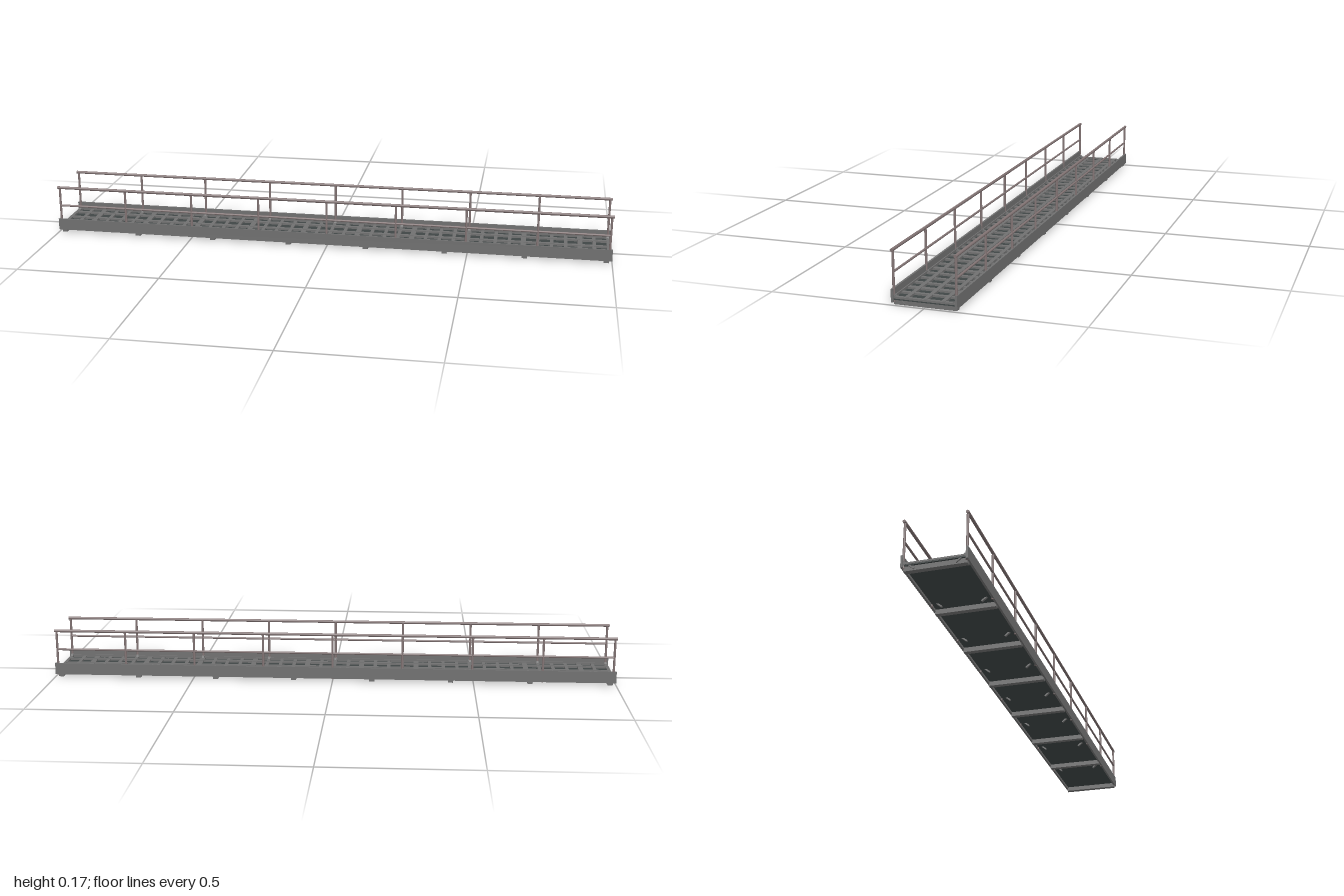
import * as THREE from 'three';

export function createModel() {
  const model = new THREE.Group();
  model.name = 'footbridge';
  const mat = (name, color) => {
    const m = new THREE.MeshStandardMaterial({ color });
    m.name = name;
    return m;
  };
  const steel = mat('grey steel', 0x707070);
  const railSteel = mat('railing steel', 0x827474);
  const plate = mat('dark deck plate', 0x3f4646);

  const add = (geometry, material, name, x, y, z) => {
    const mesh = new THREE.Mesh(geometry, material);
    mesh.name = name;
    mesh.position.set(x, y, z);
    model.add(mesh);
    return mesh;
  };
  const box = (name, material, w, h, d, x, y, z) =>
    add(new THREE.BoxGeometry(w, h, d), material, name, x, y, z);
  const tube = (name, r, length, x, y, z) =>
    add(new THREE.CylinderGeometry(r, r, length, 24), railSteel, name, x, y, z);

  // Deck plate
  box('deckPlate', plate, 1.99, 0.004, 0.194, 0, 0.018, 0);

  // Raised grid: cross bars, every fourth one wide, and three long bars
  for (let i = 0; i <= 40; i++) {
    const wide = i % 4 === 2;
    box('deckCrossBar', steel, wide ? 0.018 : 0.012, 0.006, 0.194, -0.99 + i * 0.0495, 0.023, 0);
  }
  for (const z of [-0.058, 0, 0.058]) {
    box('deckLongBar', steel, 1.98, 0.007, 0.013, 0, 0.0235, z);
  }

  // Cross beams under the deck
  for (let i = 0; i < 8; i++) {
    box('underBeam', steel, 0.018, 0.016, 0.2, -0.98 + i * 0.28, 0.008, 0);
  }

  for (const s of [-1, 1]) {
    // Side beam with a narrow inner ledge
    box('sideBeam', steel, 2, 0.041, 0.007, 0, 0.0295, s * 0.1015);
    box('sideLedge', steel, 1.99, 0.008, 0.004, 0, 0.026, s * 0.096);

    // Round handrail and middle rail
    tube('handrail', 0.005, 1.996, 0, 0.169, s * 0.1).rotation.z = Math.PI / 2;
    tube('middleRail', 0.0037, 1.98, 0, 0.101, s * 0.0995).rotation.z = Math.PI / 2;

    // Round posts with slanted braces below the deck
    for (let i = 0; i < 9; i++) {
      const x = -0.99 + i * 0.2475;
      tube('railPost', 0.004, 0.159, x, 0.0875, s * 0.0992);
      const brace = box('postBrace', steel, 0.008, 0.005, 0.042, x, 0.0175, s * 0.081);
      brace.rotation.x = -s * Math.atan2(0.026, 0.032);
    }
  }
  return model;
}
